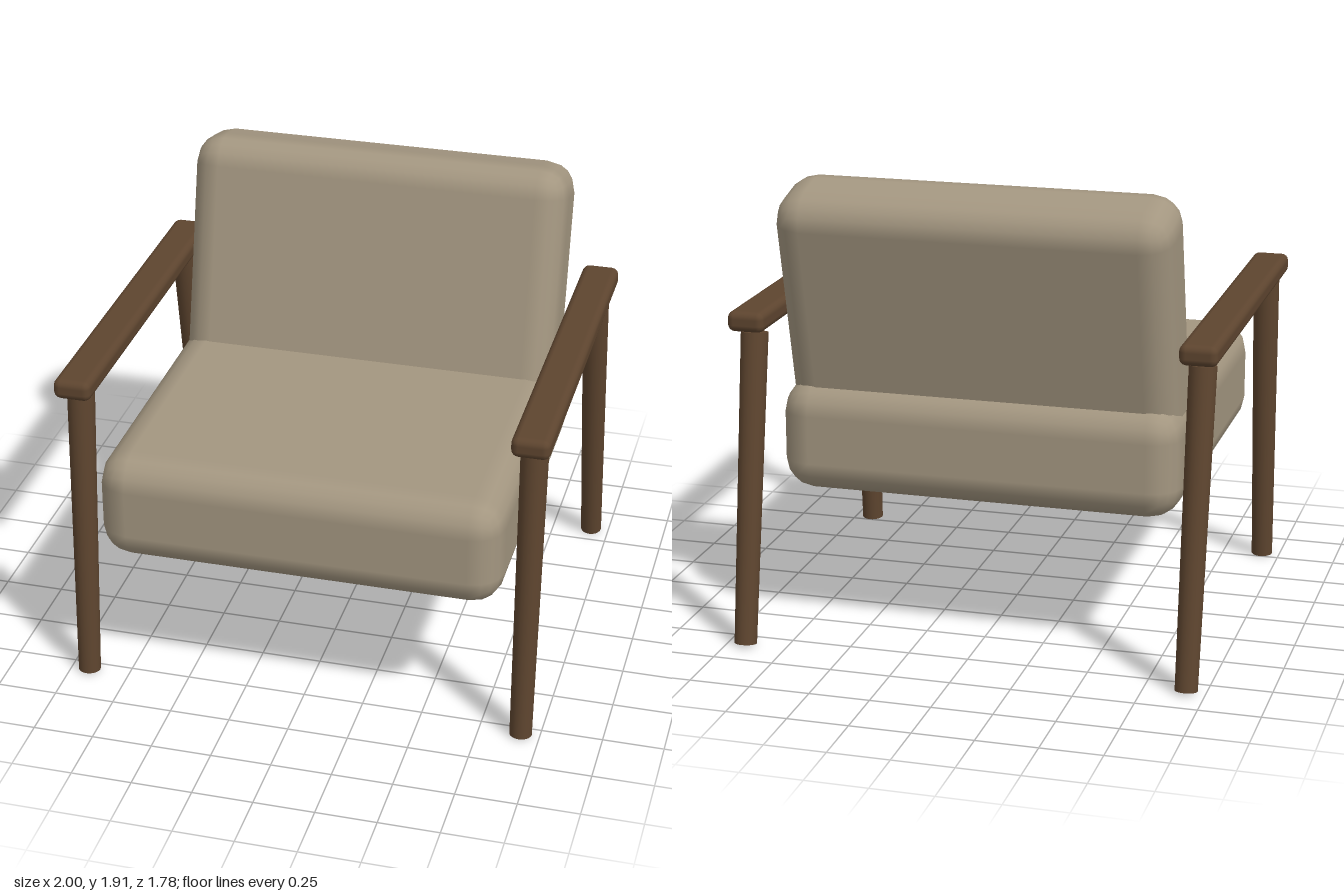
import * as THREE from 'three';
import { RoundedBoxGeometry } from 'three/addons/geometries/RoundedBoxGeometry.js';

const fabric = new THREE.MeshStandardMaterial({ color: 0xa39680 });
fabric.name = 'beige fabric';
const wood = new THREE.MeshStandardMaterial({ color: 0x5e452f });
wood.name = 'dark wood';

function roundedBox(name, size, radius, segments, position, material) {
  const mesh = new THREE.Mesh(new RoundedBoxGeometry(...size, segments, radius), material);
  mesh.name = name;
  mesh.position.set(...position);
  return mesh;
}

// Tapered round leg running from bottom to top
function leg(name, bottom, top) {
  const a = new THREE.Vector3(...bottom);
  const b = new THREE.Vector3(...top);
  const axis = b.clone().sub(a);
  const mesh = new THREE.Mesh(new THREE.CylinderGeometry(0.056, 0.046, axis.length(), 20), wood);
  mesh.name = name;
  mesh.position.copy(a).add(b).multiplyScalar(0.5);
  mesh.quaternion.setFromUnitVectors(new THREE.Vector3(0, 1, 0), axis.normalize());
  return mesh;
}

export function createModel() {
  const chair = new THREE.Group();
  chair.name = 'armchair';

  // Cushions
  chair.add(roundedBox('seatCushion', [1.66, 0.46, 1.555], 0.13, 2, [0, 0.84, 0.113], fabric));
  const back = roundedBox('backCushion', [1.615, 1.04, 0.375], 0.125, 2, [0, 1.387, -0.488], fabric);
  back.rotation.x = -THREE.MathUtils.degToRad(13.5);
  chair.add(back);

  // Wooden side frames, mirrored left and right
  for (const [side, s] of [['left', 1], ['right', -1]]) {
    const frame = new THREE.Group();
    frame.name = side + 'Frame';
    const x = s * 0.922;
    frame.add(
      roundedBox('armrest', [0.155, 0.085, 1.59], 0.03, 2, [x, 1.342, 0.04], wood),
      leg('frontLeg', [x, 0.003, 0.795], [x, 1.31, 0.717]),
      leg('backLeg', [x, 0.007, -0.842], [x, 1.278, -0.64]),
    );
    chair.add(frame);
  }
  return chair;
}
